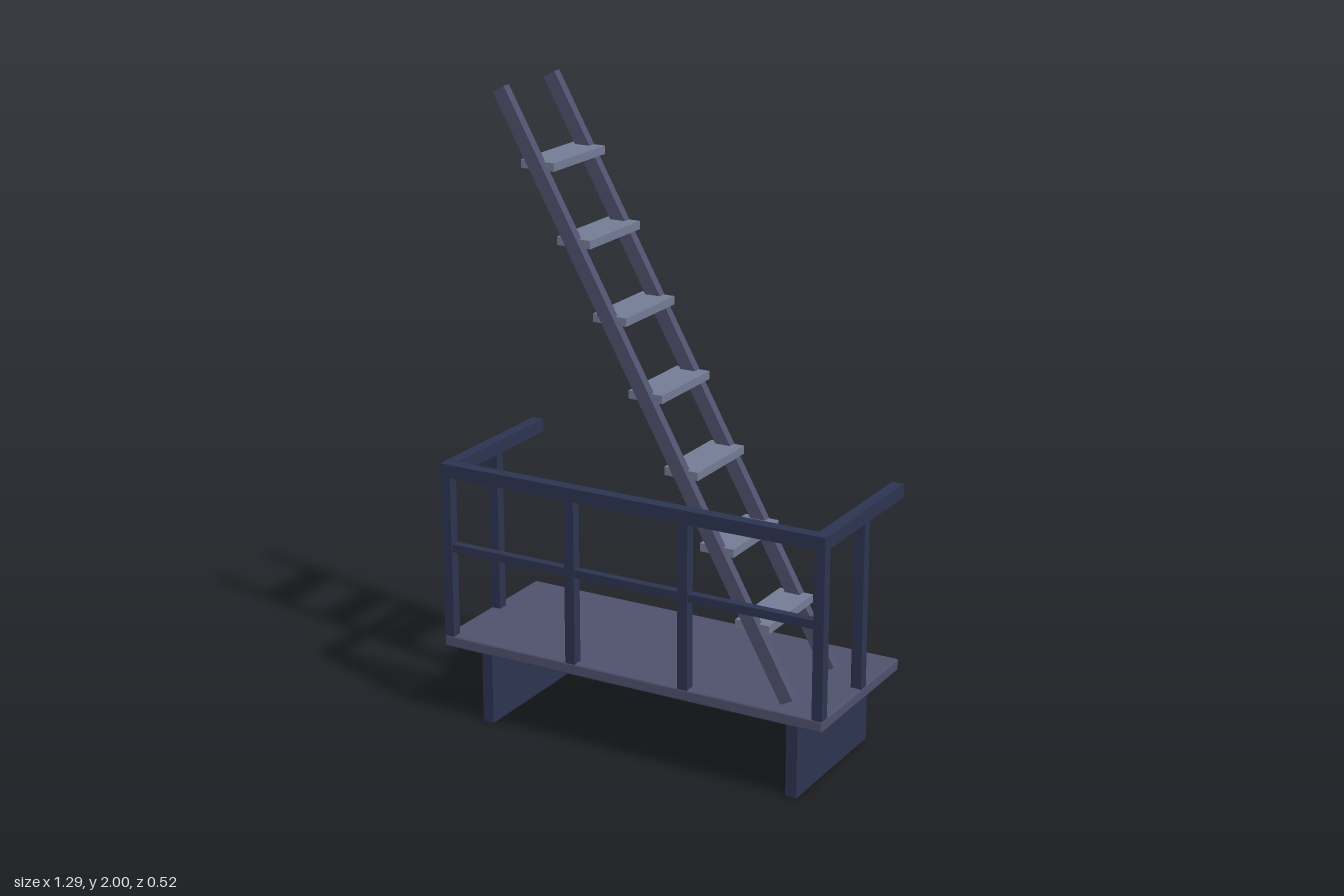
import * as THREE from 'three';
import { RoundedBoxGeometry } from 'three/addons/geometries/RoundedBoxGeometry.js';

const mat = (name, color) => {
  const m = new THREE.MeshStandardMaterial({ color });
  m.name = name;
  return m;
};

export function createModel() {
  const navy = mat('navy', 0x2d3552);
  const slate = mat('slate', 0x50526e);
  const greyBlue = mat('grey blue', 0x757e98);

  const model = new THREE.Group();
  model.name = 'platformWithLadder';

  const group = (name) => {
    const g = new THREE.Group();
    g.name = name;
    model.add(g);
    return g;
  };
  const box = (parent, name, material, size, pos) => {
    const mesh = new THREE.Mesh(new THREE.BoxGeometry(...size), material);
    mesh.name = name;
    mesh.position.set(...pos);
    parent.add(mesh);
    return mesh;
  };

  // Deck with slightly eased edges
  const deck = new THREE.Mesh(new RoundedBoxGeometry(1.29, 0.037, 0.52, 1, 0.006), slate);
  deck.name = 'deck';
  deck.position.y = 0.268;
  model.add(deck);

  // Panel legs, flush with the back of the deck
  const legs = group('legs');
  for (const s of [-1, 1]) box(legs, 'panelLeg', navy, [0.036, 0.25, 0.47], [s * 0.525, 0.125, -0.025]);

  // Guard rail: posts, front rails and overhanging side rails
  const railing = group('railing');
  const post = 0.033, postBottom = 0.285, railY = 0.822, railH = 0.042, railW = 0.038;
  const postH = railY - railH / 2 - postBottom;
  const addPost = (name, x, z) =>
    box(railing, name, navy, [post, postH, post], [x, postBottom + postH / 2, z]);
  for (const x of [-0.628, -0.194, 0.19, 0.628]) addPost('frontPost', x, 0.243);
  for (const s of [-1, 1]) {
    addPost('sidePost', s * 0.628, -0.014);
    box(railing, 'sideTopRail', navy, [railW, railH, 0.52], [s * 0.626, railY, 0]);
  }
  box(railing, 'frontTopRail', navy, [1.25, railH, railW], [0, railY, 0.241]);
  box(railing, 'frontMidRail', navy, [1.25, 0.026, 0.026], [0, 0.575, 0.243]);

  // Leaning ladder: two stringers along a sloping axis, with level treads
  const ladder = group('ladder');
  const top = new THREE.Vector2(-0.44, 1.989), foot = new THREE.Vector2(0.507, 0.295);
  const axis = top.clone().sub(foot);
  const mid = top.clone().add(foot).multiplyScalar(0.5);
  for (const z of [-0.074, 0.197]) {
    const stringer = box(ladder, 'stringer', slate, [0.043, axis.length(), 0.028], [mid.x, mid.y, z]);
    stringer.rotation.z = axis.angle() - Math.PI / 2;
  }
  for (let i = 0; i < 7; i++) {
    box(ladder, 'tread', greyBlue, [0.11, 0.025, 0.282], [0.386 - i * 0.1177, 0.502 + i * 0.2125, 0.0565]);
  }

  return model;
}
